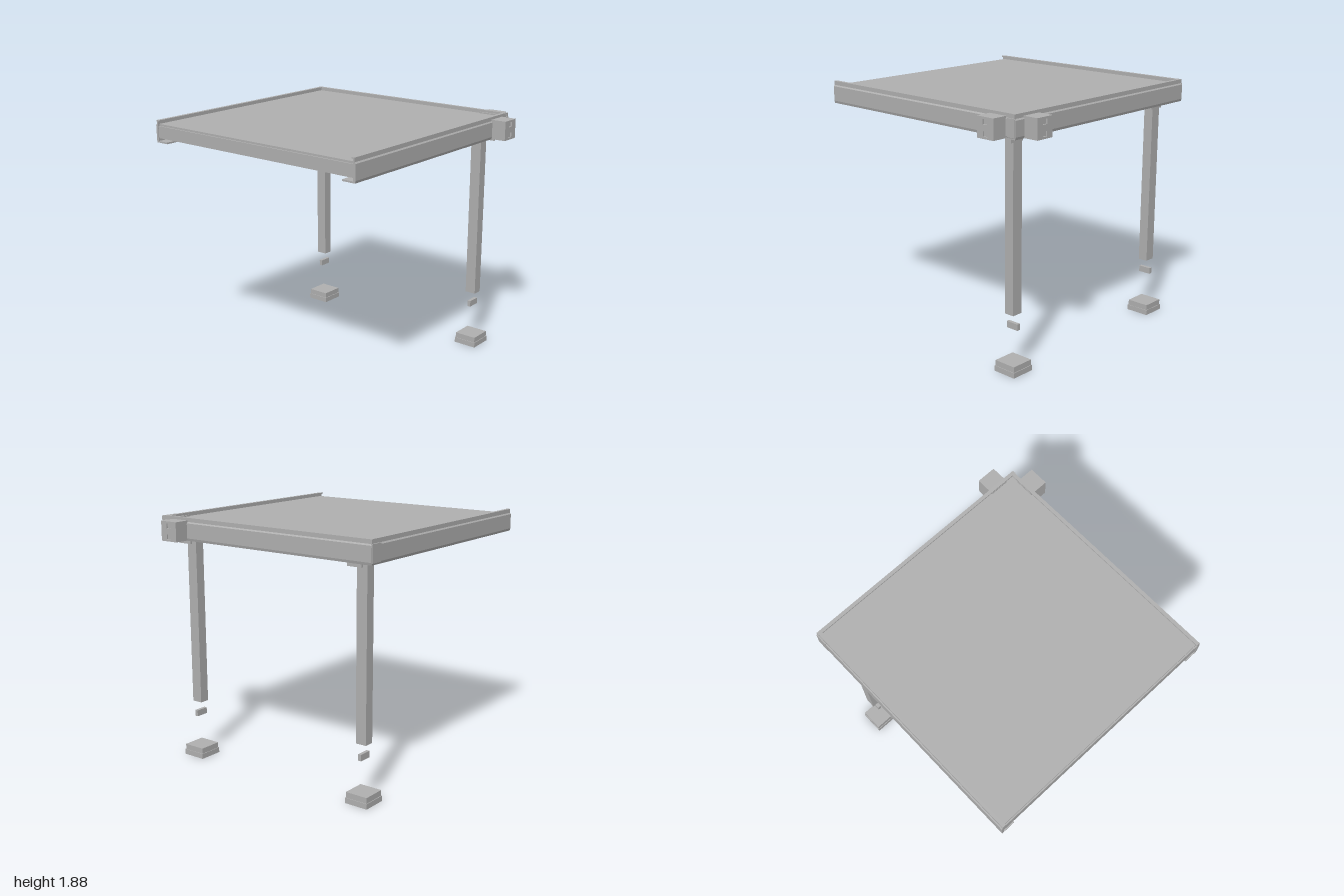
import * as THREE from 'three';

export function createModel() {
  const model = new THREE.Group();
  const grey = new THREE.MeshStandardMaterial({ color: 0xb0b0b0 });
  grey.name = 'grey metal';

  const add = (name, geometry, parent = model) => {
    const mesh = new THREE.Mesh(geometry, grey);
    mesh.name = name;
    parent.add(mesh);
    return mesh;
  };
  // Box given by its lower and upper corners
  const box = (name, x0, x1, y0, y1, z0, z1, parent) => {
    const mesh = add(name, new THREE.BoxGeometry(x1 - x0, y1 - y0, z1 - z0), parent);
    mesh.position.set((x0 + x1) / 2, (y0 + y1) / 2, (z0 + z1) / 2);
    return mesh;
  };
  const extrude = (shape, depth) => new THREE.ExtrudeGeometry(shape, { depth, bevelEnabled: false });
  const rect = (Type, w, h, cy = 0) => new Type([[-w, -h], [w, -h], [w, h], [-w, h]]
    .map(([x, y]) => new THREE.Vector2(x / 2, cy + y / 2)));

  // Channel section: outer face at u = 0, flanges reaching inward along -u
  const section = new THREE.Shape([
    [-0.11, 1.712], [-0.005, 1.712], [0, 1.73], [0, 1.84], [-0.008, 1.85], [-0.008, 1.88],
    [-0.035, 1.88], [-0.035, 1.87], [-0.02, 1.87], [-0.02, 1.724], [-0.11, 1.724],
  ].map(([u, y]) => new THREE.Vector2(u, y)));
  const beam = (name, length, x, z, turn) => {
    const mesh = add(name, extrude(section, length));
    mesh.rotation.y = turn;
    mesh.position.set(x, 0, z);
  };
  beam('frontBeam', 1.865, 0.865, 0.873, -Math.PI / 2);
  beam('backBeam', 1.865, -1, -1, Math.PI / 2);
  beam('sideBeam', 1.865, 0.873, -0.995, 0);

  // Roof panel and the joists under it
  box('roofPanel', -0.985, 0.855, 1.835, 1.85, -0.98, 0.855);
  for (const x of [-0.97, -0.07]) box('joist', x - 0.025, x + 0.025, 1.745, 1.835, -0.98, 0.855);

  // Corner covers on the outer faces
  box('backCornerCover', 0.77, 0.868, 1.725, 1.85, -1.002, -0.99);
  box('frontCornerCover', 0.80, 0.868, 1.725, 1.85, 0.865, 0.875);

  // Triangular gussets in the two corners above the posts
  for (const s of [1, -1]) {
    const edge = s > 0 ? 0.85 : 0.98;
    const tri = new THREE.Shape([[0.85, edge], [0.47, edge], [0.85, edge - 0.38]]
      .map(([x, z]) => new THREE.Vector2(x, s * z)));
    const mesh = add('cornerGusset', extrude(tri, 0.03));
    mesh.rotation.x = Math.PI / 2;
    mesh.position.y = 1.754;
  }

  // Socket blocks on the outer corner, each with two square recesses
  const socket = (x, z, turn) => {
    const group = new THREE.Group();
    group.name = 'socketBlock';
    box('blockBody', -0.074, 0.074, -0.073, 0.073, -0.072, 0.06, group);
    const face = rect(THREE.Shape, 0.148, 0.146);
    for (const y of [0.04, -0.04]) face.holes.push(rect(THREE.Path, 0.04, 0.036, y));
    add('blockFace', extrude(face, 0.012), group).position.z = 0.06;
    group.position.set(x, 1.787, z);
    group.rotation.y = turn;
    model.add(group);
  };
  socket(0.712, 0.912, 0);
  socket(0.912, 0.712, Math.PI / 2);

  // Post assemblies, separated vertically
  for (const z of [0.717, -0.838]) {
    const group = new THREE.Group();
    group.name = 'postAssembly';
    group.position.set(0.712, 0, z);
    model.add(group);

    const tube = rect(THREE.Shape, 0.075, 0.085);
    tube.holes.push(rect(THREE.Path, 0.059, 0.069));
    const post = add('post', extrude(tube, 1.265), group);
    post.rotation.x = -Math.PI / 2;
    post.position.y = 0.435;
    box('postPlug', -0.03, 0.03, 0.45, 0.47, -0.035, 0.035, group);

    box('bracketPlate', -0.05, 0.07, 1.695, 1.712, -0.055, 0.1, group);
    box('bracketFlange', 0.055, 0.07, 1.67, 1.712, -0.018, 0.1, group);
    box('tenon', -0.05, 0.05, 0.32, 0.367, -0.013, 0.013, group);
    box('footBase', -0.093, 0.093, 0, 0.04, -0.093, 0.093, group);
    box('footTop', -0.088, 0.088, 0.04, 0.082, -0.088, 0.088, group);
  }
  return model;
}
